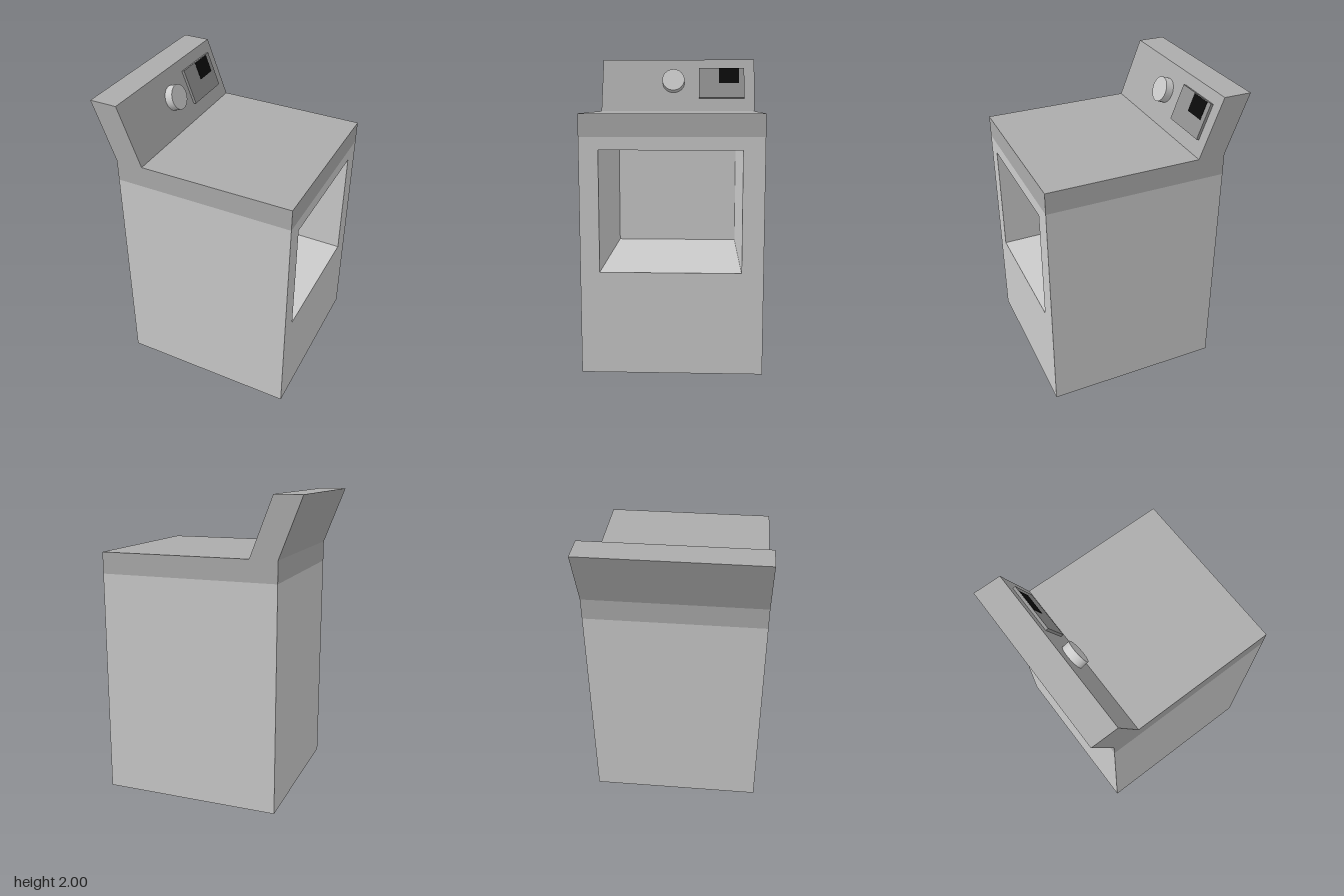
import * as THREE from 'three';

const HALF = 0.565;   // half width along z
const FRONT = 0.66;   // x of the door side
const REAR = -0.515;  // x of the rear side
const CAVITY = -0.4;  // x of the drum cavity's end wall

const grey = (color = 0xcccccc) => new THREE.MeshStandardMaterial({ color });

function part(parent, name, geometry, material, x = 0, y = 0, z = 0) {
  const mesh = new THREE.Mesh(geometry, material);
  mesh.name = name;
  mesh.position.set(x, y, z);
  parent.add(mesh);
  return mesh;
}

const polygon = (points) => points.map(([x, y]) => new THREE.Vector2(x, y));

export function createModel() {
  const model = new THREE.Group();
  model.name = 'dryer';
  const body = grey();
  const trim = grey(0xababab);

  // Cabinet: rectangular tube around the open door cavity
  const outline = new THREE.Shape(polygon([[-HALF, 0], [HALF, 0], [HALF, 1.48], [-HALF, 1.48]]));
  outline.holes.push(new THREE.Path(polygon([[-0.445, 0.645], [-0.445, 1.4], [0.43, 1.4], [0.43, 0.645]])));
  const shell = new THREE.ExtrudeGeometry(outline, { depth: FRONT - CAVITY, bevelEnabled: false });
  part(model, 'cabinet', shell, body, CAVITY).rotation.y = Math.PI / 2;

  // Rear wall closing the cavity
  const wall = CAVITY - REAR;
  part(model, 'rearWall', new THREE.BoxGeometry(wall, 1.48, 2 * HALF), body, REAR + wall / 2, 0.74);

  // Lid and slanted console share one side profile
  const profile = new THREE.Shape(polygon([
    [REAR, 1.48], [FRONT, 1.48], [FRONT, 1.62], [-0.335, 1.62], [-0.48, 2], [-0.66, 2], [REAR, 1.62],
  ]));
  const top = new THREE.ExtrudeGeometry(profile, { depth: 2 * HALF, bevelEnabled: false });
  part(model, 'lidAndConsole', top, trim, 0, 0, -HALF);

  // Controls: local x points out of the console face, local y runs up its slope
  const controls = new THREE.Group();
  controls.name = 'controls';
  controls.position.set(-0.335, 1.62, 0);
  controls.rotation.z = Math.atan2(0.145, 0.38);
  model.add(controls);

  part(controls, 'controlPanel', new THREE.BoxGeometry(0.036, 0.235, 0.335), grey(0x909090), 0, 0.216, -0.322);
  part(controls, 'display', new THREE.BoxGeometry(0.01, 0.118, 0.15), grey(0x0a0a0a), 0.015, 0.271, -0.376);
  const knob = new THREE.CylinderGeometry(0.082, 0.082, 0.064, 32);
  part(controls, 'knob', knob, grey(), 0.022, 0.226, 0.034).rotation.z = -Math.PI / 2;

  return model;
}
